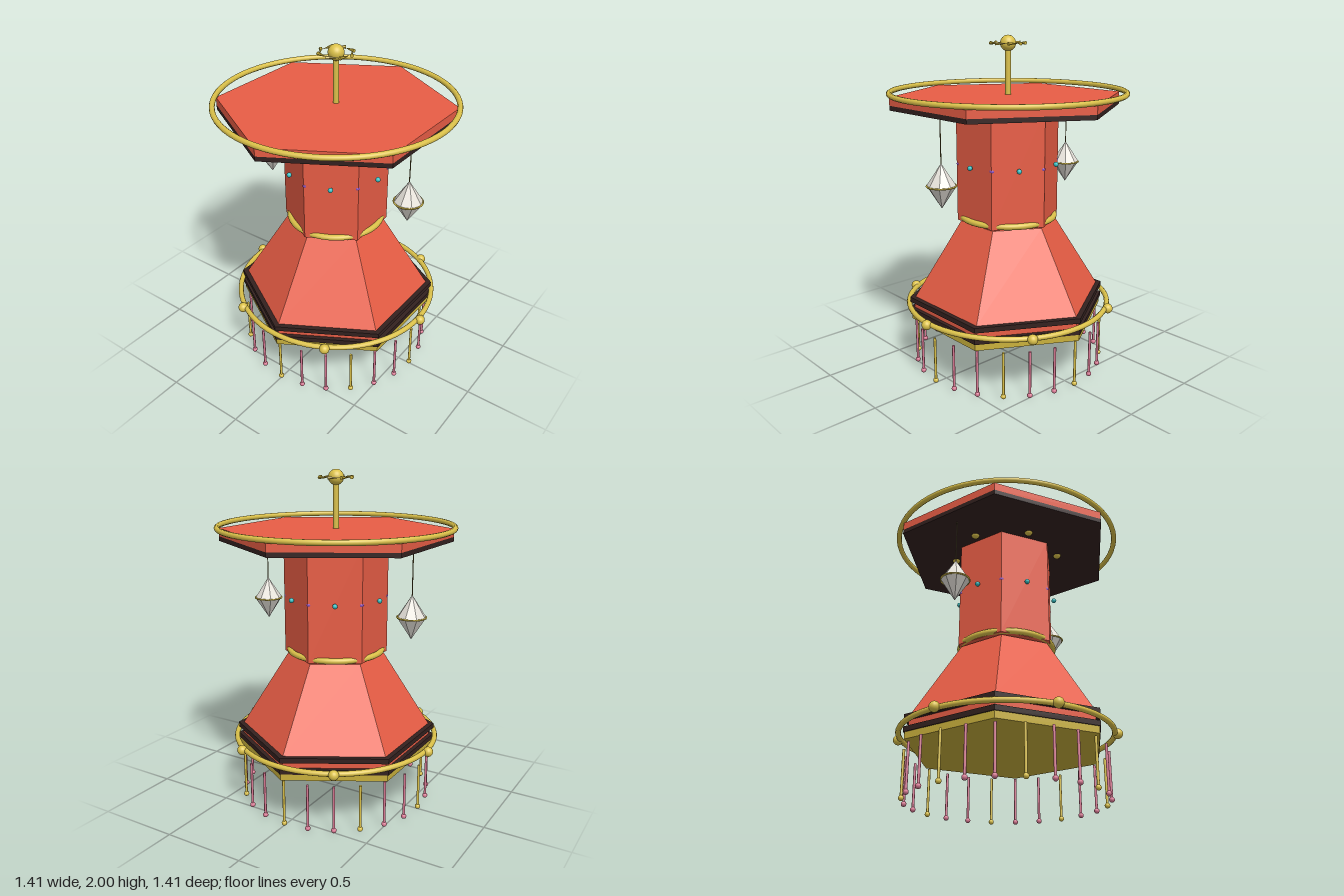
import * as THREE from 'three';

const paint = (color, flatShading = false) => new THREE.MeshStandardMaterial({ color, flatShading });
const red = paint(0xe85d45, true);
const dark = paint(0x33211f, true);
const goldFlat = paint(0xc9b03c, true);
const gold = paint(0xdcc24a);
const pink = paint(0xd97a94);
const teal = paint(0x35c0c4);
const purple = paint(0x8a4fc0);
const crystal = paint(0xe6e2da, true);
const cord = paint(0x6e6030);

export function createModel() {
  const model = new THREE.Group();

  const add = (name, geometry, material, x = 0, y = 0, z = 0, parent = model) => {
    const mesh = new THREE.Mesh(geometry, material);
    mesh.name = name;
    mesh.position.set(x, y, z);
    parent.add(mesh);
    return mesh;
  };
  // Hexagonal tier between two heights, corners on +z and -z
  const tier = (name, y0, y1, rTop, rBottom, material) =>
    add(name, new THREE.CylinderGeometry(rTop, rBottom, y1 - y0, 6), material, 0, (y0 + y1) / 2, 0);
  // Horizontal ring
  const ring = (name, radius, tube, y, material = gold) => {
    const mesh = add(name, new THREE.TorusGeometry(radius, tube, 10, 72), material, 0, y, 0);
    mesh.rotation.x = Math.PI / 2;
    return mesh;
  };
  // Calls fn(x, z, index, angle) at equal steps around the axis
  const around = (count, radius, start, fn) => {
    for (let i = 0; i < count; i++) {
      const a = start + (i / count) * Math.PI * 2;
      fn(radius * Math.sin(a), radius * Math.cos(a), i, a);
    }
  };

  // Base, skirt, column and roof
  tier('baseFoot', 0.3, 0.34, 0.605, 0.605, goldFlat);
  tier('lowerTrim', 0.34, 0.37, 0.613, 0.613, dark);
  tier('basePanel', 0.37, 0.41, 0.585, 0.585, red);
  tier('upperTrim', 0.41, 0.44, 0.613, 0.613, dark);
  tier('skirt', 0.44, 0.905, 0.29, 0.58, red);
  tier('column', 0.915, 1.6, 0.31, 0.31, red);
  tier('roofTrim', 1.585, 1.612, 0.69, 0.69, dark);
  tier('roof', 1.612, 1.66, 0.69, 0.69, red);

  // Gold rings
  ring('baseRing', 0.617, 0.016, 0.39);
  ring('neckRing', 0.28, 0.018, 0.932);
  ring('roofRing', 0.69, 0.016, 1.675);

  // Round studs on the base ring and under the roof
  const ringStud = new THREE.SphereGeometry(0.03, 18, 12);
  const roofStud = new THREE.SphereGeometry(0.025, 16, 10);
  around(6, 0.633, Math.PI / 6, (x, z) => add('baseRingStud', ringStud, gold, x, 0.39, z));
  around(6, 0.325, Math.PI / 6, (x, z) => add('roofStud', roofStud, gold, x, 1.59, z));

  // Small beads around the column: purple on corners, teal on faces
  const bead = new THREE.SphereGeometry(0.015, 12, 8);
  around(12, 0.296, 0, (x, z, i) => add('columnBead', bead, i % 2 ? teal : purple, x, 1.26, z));

  // Fringe of hanging rods with end beads
  const rod = new THREE.CylinderGeometry(0.008, 0.008, 0.27, 8);
  const rodBead = new THREE.SphereGeometry(0.016, 12, 8);
  around(24, 0.578, 0, (x, z, i) => {
    const material = i % 3 ? pink : gold;
    add('fringeRod', rod, material, x, 0.155, z);
    add('fringeBead', rodBead, material, x, 0.018, z);
  });

  // Faceted pendants on cords
  const half = new THREE.ConeGeometry(0.085, 0.13, 8, 1, true);
  for (const side of [-1, 1]) {
    const pendant = new THREE.Group();
    pendant.name = side > 0 ? 'leftPendant' : 'rightPendant';
    pendant.position.set(side * 0.502, 1.19, 0);
    model.add(pendant);
    add('pendantTop', half, crystal, 0, 0.065, 0, pendant);
    add('pendantBottom', half, crystal, 0, -0.065, 0, pendant).rotation.x = Math.PI;
    const band = add('pendantBand', new THREE.TorusGeometry(0.083, 0.005, 6, 32), gold, 0, 0, 0, pendant);
    band.rotation.x = Math.PI / 2;
    add('pendantCord', new THREE.CylinderGeometry(0.003, 0.003, 0.28, 6), cord, 0, 0.265, 0, pendant);
  }

  // Finial: pole, ball and a wreath of small spikes
  add('finialPole', new THREE.CylinderGeometry(0.017, 0.017, 0.3, 12), gold, 0, 1.8, 0);
  add('finialBall', new THREE.SphereGeometry(0.046, 24, 16), gold, 0, 1.954, 0);
  const spike = new THREE.ConeGeometry(0.011, 0.07, 6).rotateZ(-Math.PI / 2);
  around(8, 0.088, Math.PI / 8, (x, z, i, a) => {
    add('finialSpike', spike, goldFlat, x, 1.954, z).rotation.y = a + 0.2;
  });

  return model;
}
